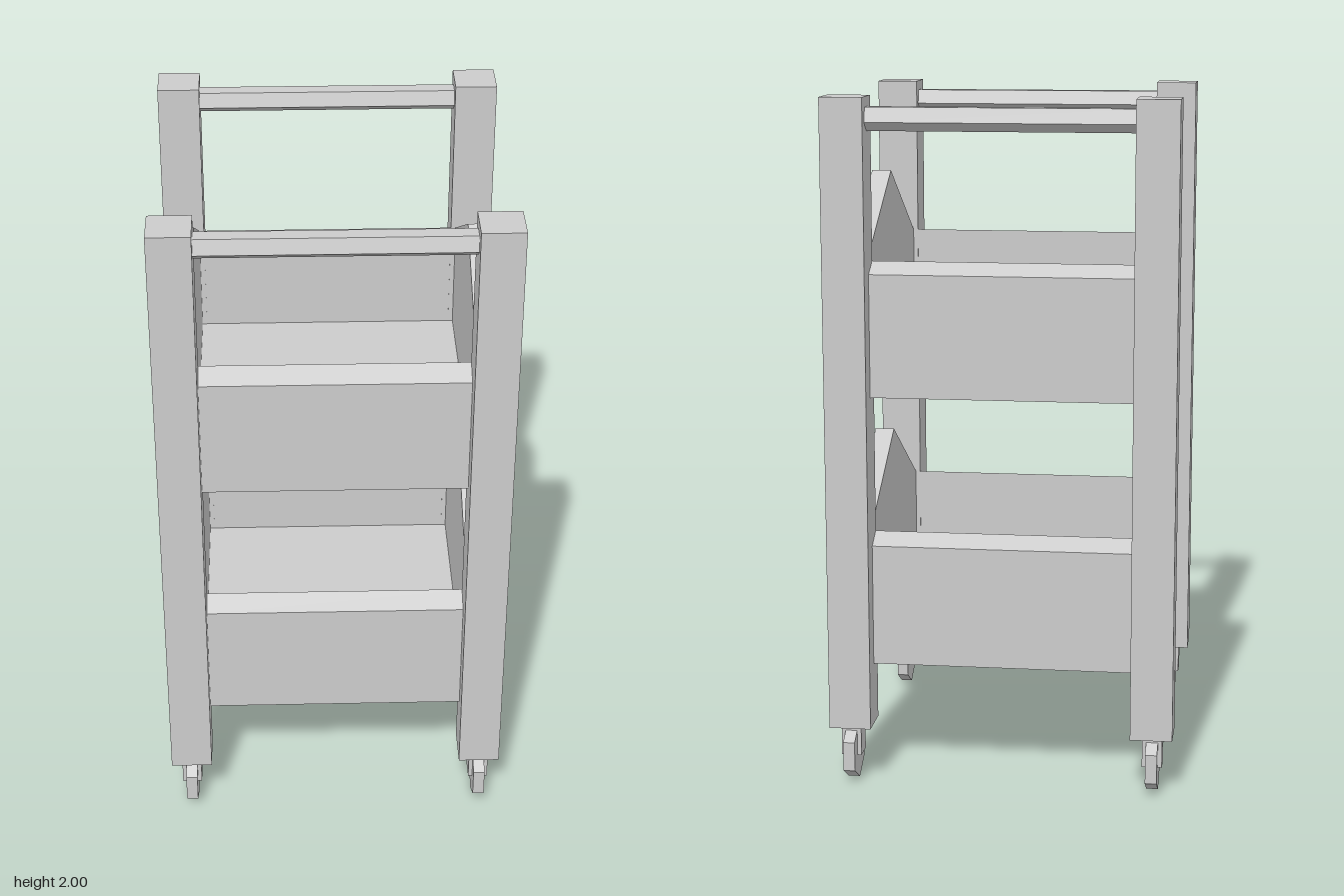
import * as THREE from 'three';

const material = new THREE.MeshStandardMaterial({ color: 0xcccccc, flatShading: true });

function addMesh(parent, name, geometry, x, y, z) {
  const mesh = new THREE.Mesh(geometry, material);
  mesh.name = name;
  mesh.position.set(x, y, z);
  parent.add(mesh);
  return mesh;
}

function addBox(parent, name, w, h, d, x, y, z) {
  return addMesh(parent, name, new THREE.BoxGeometry(w, h, d), x, y, z);
}

// Extrudes a (z, y) outline along x, centred on x = 0
function prism(points, width) {
  const shape = new THREE.Shape(points.map(([z, y]) => new THREE.Vector2(z, y)));
  return new THREE.ExtrudeGeometry(shape, { depth: width, bevelEnabled: false })
    .translate(0, 0, -width / 2)
    .rotateY(-Math.PI / 2);
}

// Regular polygon with one corner pointing straight down
function polygon(sides, radius) {
  return Array.from({ length: sides }, (_, i) => {
    const a = -Math.PI / 2 + (i * 2 * Math.PI) / sides;
    return [radius * Math.cos(a), radius * Math.sin(a)];
  });
}

// Open tray with peaked sides; the end walls follow the same slope
function createTray(name) {
  const tray = new THREE.Group();
  tray.name = name;
  const half = 0.45, wall = 0.057, inner = half - wall;
  const peak = 0.61, edge = 0.355;
  const innerEdge = edge + (peak - edge) * (wall / half);

  const side = prism([[-half, 0], [half, 0], [half, edge], [0, peak], [-half, edge]], wall);
  const end = prism([[inner, 0], [half, 0], [half, edge], [inner, innerEdge]], inner * 2);
  for (const s of [1, -1]) {
    addMesh(tray, s > 0 ? 'leftTrayWall' : 'rightTrayWall', side, s * (half - wall / 2), 0, 0);
    const endWall = addMesh(tray, s > 0 ? 'frontTrayWall' : 'backTrayWall', end, 0, 0, 0);
    if (s < 0) endWall.rotation.y = Math.PI;
  }
  addBox(tray, 'trayFloor', inner * 2, wall, inner * 2, 0, wall / 2, 0);
  return tray;
}

// Swivel-less caster: fork with two cheeks around a six-sided wheel
function createCaster() {
  const caster = new THREE.Group();
  caster.name = 'caster';
  addMesh(caster, 'wheel', prism(polygon(6, 0.086), 0.034), 0, 0.088, 0);
  addBox(caster, 'forkTop', 0.058, 0.02, 0.066, 0, 0.162, 0);
  for (const s of [1, -1]) addBox(caster, 'forkCheek', 0.012, 0.074, 0.066, s * 0.023, 0.117, 0);
  return caster;
}

export function createModel() {
  const model = new THREE.Group();
  model.name = 'trolley';

  // Corner posts with casters
  for (const sx of [1, -1]) {
    for (const sz of [1, -1]) {
      addBox(model, 'post', 0.122, 1.83, 0.123, sx * 0.44, 1.085, sz * 0.453);
      const caster = createCaster();
      caster.position.set(sx * 0.4415, 0, sz * 0.453);
      model.add(caster);
    }
  }

  // Five-sided handle rails between the posts
  const rail = prism(polygon(5, 0.0375), 0.78);
  for (const s of [1, -1]) addMesh(model, s > 0 ? 'frontRail' : 'backRail', rail, 0, 1.941, s * 0.4525);

  // Two trays
  [['lowerTray', 0.351], ['upperTray', 1.144]].forEach(([name, y]) => {
    const tray = createTray(name);
    tray.position.y = y;
    model.add(tray);
  });

  return model;
}
